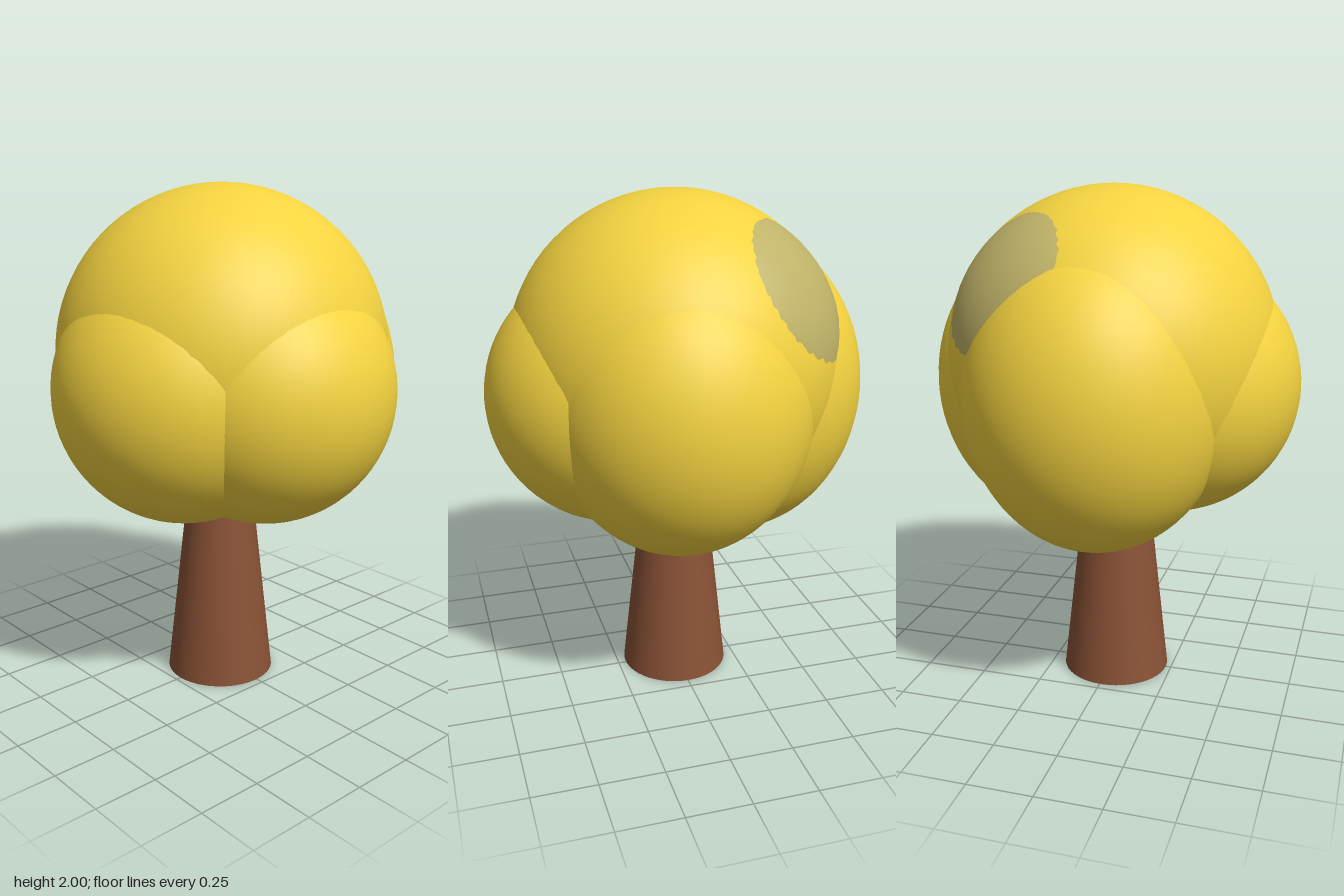
import * as THREE from 'three';

export function createModel() {
  const tree = new THREE.Group();
  tree.name = 'tree';

  const bark = new THREE.MeshStandardMaterial({ color: 0x8a5236 });
  const leaves = new THREE.MeshStandardMaterial({ color: 0xf4d340 });
  const paleLeaves = new THREE.MeshStandardMaterial({ color: 0xbfb268 });

  // Tapered trunk, its top hidden inside the foliage
  const trunk = new THREE.Mesh(new THREE.CylinderGeometry(0.108, 0.218, 1, 48), bark);
  trunk.name = 'trunk';
  trunk.position.set(-0.01, 0.5, 0);
  tree.add(trunk);

  // Foliage: overlapping smooth ellipsoids [name, centre, radii, material]
  const ball = new THREE.SphereGeometry(1, 64, 40);
  const lobes = [
    ['crown', [0, 1.35, 0], [0.65, 0.65, 0.65], leaves],
    ['frontLobe', [0, 1.23, 0.245], [0.5, 0.505, 0.5], leaves],
    ['rightLobe', [-0.225, 1.235, 0.04], [0.505, 0.51, 0.505], leaves],
    ['leftLobe', [0.21, 1.235, 0.04], [0.52, 0.59, 0.51], leaves],
    ['backLobe', [0, 1.235, -0.23], [0.51, 0.61, 0.52], leaves],
    // Slightly proud pale patch at the upper back left
    ['paleLobe', [0.064, 1.414, -0.079], [0.545, 0.545, 0.545], paleLeaves],
  ];
  for (const [name, centre, radii, material] of lobes) {
    const lobe = new THREE.Mesh(ball, material);
    lobe.name = name;
    lobe.position.set(...centre);
    lobe.scale.set(...radii);
    tree.add(lobe);
  }
  return tree;
}
